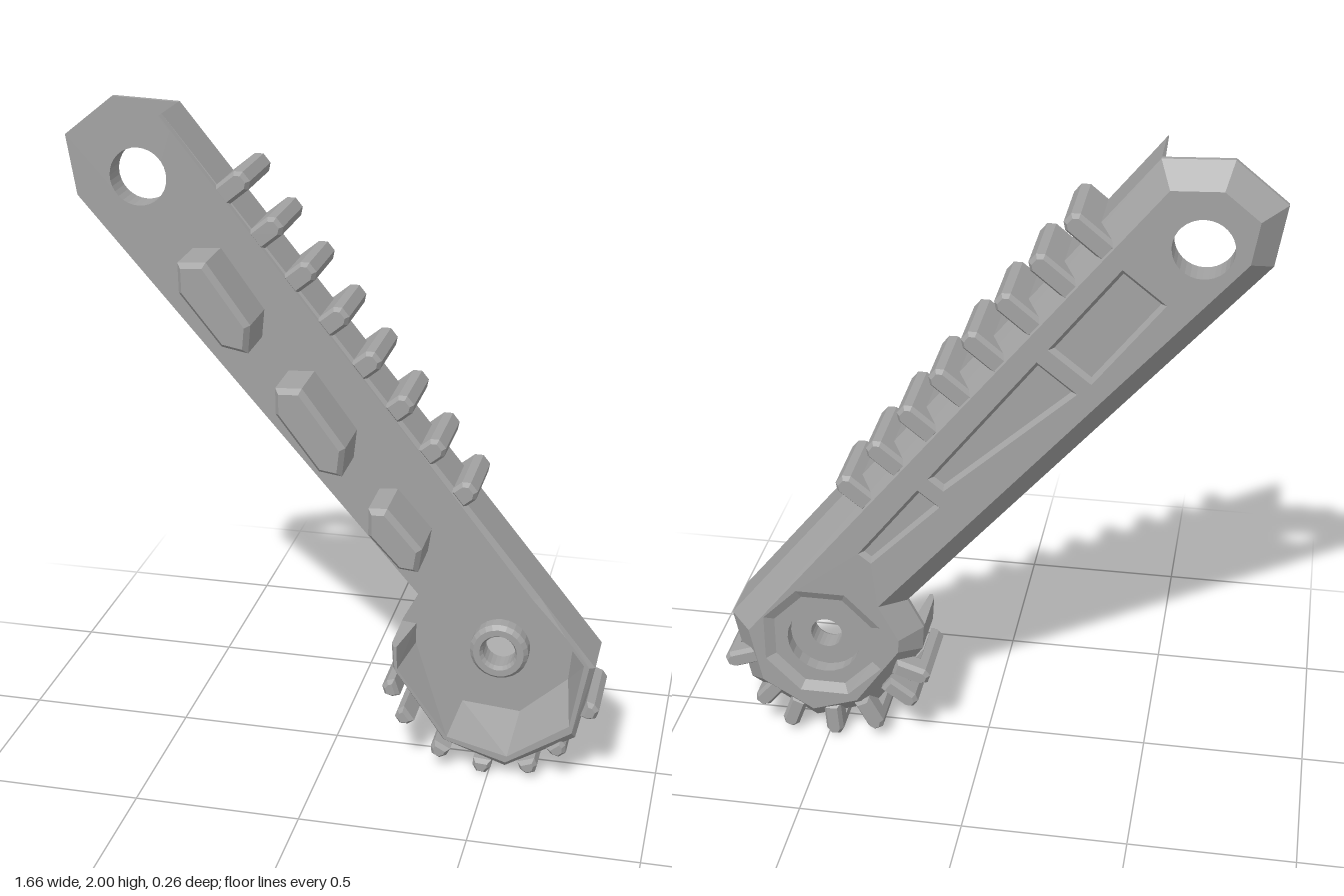
import * as THREE from 'three';

const metal = new THREE.MeshStandardMaterial({ color: 0xa2a2a2, flatShading: true, side: THREE.DoubleSide });
metal.name = 'plain grey';

const FLOOR = -0.045, BACK = -0.13, FRONT = 0.13;
const HUB = [0.505, 0.36], EYE = [-0.61, 1.765];

// ---- helpers: every outline runs clockwise as seen from the front ----
const at = (pts, z) => pts.map(([x, y]) => [x, y, z]);
const mix = (a, b, t) => [a[0] + (b[0] - a[0]) * t, a[1] + (b[1] - a[1]) * t];
const circle = ([cx, cy], r, n, turn = 0) => Array.from({ length: n }, (_, i) => {
  const a = turn - (i / n) * Math.PI * 2;
  return [cx + r * Math.cos(a), cy + r * Math.sin(a)];
});

function inset(pts, d) {
  const n = pts.length;
  const normal = (a, b) => {
    const l = Math.hypot(b[0] - a[0], b[1] - a[1]);
    return [(b[1] - a[1]) / l, -(b[0] - a[0]) / l];
  };
  return pts.map((p, i) => {
    const u = normal(pts[(i + n - 1) % n], p), v = normal(p, pts[(i + 1) % n]);
    const k = d / (1 + u[0] * v[0] + u[1] * v[1]);
    return [p[0] + (u[0] + v[0]) * k, p[1] + (u[1] + v[1]) * k];
  });
}

function add(group, name, geometry) {
  const mesh = new THREE.Mesh(geometry, metal);
  mesh.name = name;
  group.add(mesh);
}

// joins closed rings of points with quads, optionally closing both ends
function stack(rings, caps = false) {
  const pos = [], n = rings[0].length;
  for (let r = 0; r + 1 < rings.length; r++) {
    for (let i = 0; i < n; i++) {
      const j = (i + 1) % n, A = rings[r], B = rings[r + 1];
      pos.push(...A[i], ...A[j], ...B[j], ...A[i], ...B[j], ...B[i]);
    }
  }
  if (caps) {
    const A = rings[0], B = rings[rings.length - 1];
    for (let i = 1; i + 1 < n; i++) {
      pos.push(...A[0], ...A[i + 1], ...A[i], ...B[0], ...B[i], ...B[i + 1]);
    }
  }
  const g = new THREE.BufferGeometry();
  g.setAttribute('position', new THREE.Float32BufferAttribute(pos, 3));
  g.computeVertexNormals();
  return g;
}

const toVec = (pts) => pts.map(([x, y]) => new THREE.Vector2(x, y));

// flat face with holes, turned to the front or the back
function face(outline, holes, z, back = false) {
  const shape = new THREE.Shape(toVec(outline));
  holes.forEach((h) => shape.holes.push(new THREE.Path(toVec(h))));
  let g = new THREE.ShapeGeometry(shape);
  if (back) g.index.array.reverse();
  g = g.toNonIndexed();
  g.translate(0, 0, z);
  g.computeVertexNormals();
  return g;
}

// chamfered bar standing out along a direction, running front to back
function rib(group, name, base, dir, length, width, deep) {
  const side = [dir[1], -dir[0]], w = width / 2;
  const bar = (from, z0, z1) => {
    const pts = [[from, -w], [length - 0.02, -w], [length, -w * 0.5], [length, w * 0.5], [length - 0.02, w], [from, w]]
      .map(([h, s]) => [base[0] + dir[0] * h + side[0] * s, base[1] + dir[1] * h + side[1] * s]);
    const end = inset(pts, 0.01);
    add(group, name, stack([at(end, z1), at(pts, z1 - 0.015), at(pts, z0 + 0.015), at(end, z0)], true));
  };
  bar(-0.015, -0.125, 0.128);
  bar(-deep, -0.125, -0.05); // root that fills the back chamfer
}

export function createModel() {
  const model = new THREE.Group();
  model.name = 'toothedArm';

  // Arm plate with chamfered back edge
  const outline = [[-0.83, 1.88], [-0.68, 2], [-0.48, 1.992], [0.81, 0.4], [0.76, 0.16], [0.55, 0.035],
    [0.36, 0.1], [0.2, 0.33], [0.195, 0.41], [0.245, 0.505], [-0.8, 1.7]];
  const backOutline = inset(outline, 0.065);
  const eye = circle(EYE, 0.087, 32), bore = circle(HUB, 0.05, 24), socket = circle(HUB, 0.115, 24);
  const octagon = circle(HUB, 0.2, 8, Math.PI / 8), octagonFloor = inset(octagon, 0.03);

  // Three tapering sunken panels on the back: start, end, width at start, width at end
  const edge = (t, w) => [-0.4 + 0.78 * t - 0.788 * w, 1.7 - t - 0.615 * w];
  const panels = [[0.01, 0.27, 0.16, 0.16], [0.31, 0.72, 0.15, 0.06], [0.76, 1, 0.085, 0.05]]
    .map(([a, b, wa, wb]) => [edge(a, 0), edge(b, 0), edge(b, wb), edge(a, wa)]);

  add(model, 'plateFront', face(outline, [eye, bore], FLOOR));
  add(model, 'plateEdge', stack([at(outline, FLOOR), at(outline, -0.06), at(backOutline, BACK)]));
  add(model, 'plateBack', face(backOutline, [eye, octagon, ...panels], BACK, true));
  add(model, 'eyeWall', stack([at(eye, BACK), at(eye, FLOOR)]));
  panels.forEach((p) => {
    const floor = inset(p, 0.012);
    add(model, 'panelEdge', stack([at(p, BACK), at(floor, -0.113)]));
    add(model, 'panelFloor', face(floor, [], -0.113, true));
  });

  // Octagonal recess and round socket behind the hub
  add(model, 'hubRecessEdge', stack([at(octagon, BACK), at(octagonFloor, -0.113)]));
  add(model, 'hubRecessFloor', face(octagonFloor, [socket], -0.113, true));
  add(model, 'hubSocketWall', stack([at(socket, -0.113), at(socket, -0.07)]));
  add(model, 'hubSocketFloor', face(socket, [bore], -0.07, true));
  add(model, 'hubBore', stack([at(bore, -0.07), at(bore, -0.005)]));

  // Raised ring around the hub bore
  add(model, 'hubRing', stack([
    at(bore, -0.005), at(circle(HUB, 0.058, 24), 0.01), at(circle(HUB, 0.078, 24), 0.01),
    at(circle(HUB, 0.09, 24), -0.005), at(circle(HUB, 0.09, 24), FLOOR),
  ]));

  // Wall along the upper edge and round the hub, sloping inwards to the floor
  const outer = [[-0.48, 1.992], [0.64, 0.61], [0.74, 0.486], ...outline.slice(3, 9)];
  const inner = [[-0.489, 1.98], [0.54, 0.61], [0.65, 0.54], [0.73, 0.43], [0.715, 0.27],
    [0.57, 0.14], [0.39, 0.155], [0.24, 0.34], [0.24, 0.405]];
  add(model, 'rimWall', stack(outer.map((o, i) => {
    const n = inner[i];
    return [[...o, FLOOR], [...o, 0.11], [...mix(o, n, 0.2), FRONT], [...mix(o, n, 0.4), FRONT], [...n, FLOOR]];
  }), true));

  // Six-sided studs on the front of the arm
  const studs = [
    [[-0.447, 1.56], [-0.362, 1.566], [-0.232, 1.386], [-0.24, 1.3], [-0.32, 1.315], [-0.445, 1.47]],
    [[-0.16, 1.2], [-0.08, 1.205], [0.05, 1.03], [0.04, 0.94], [-0.03, 0.95], [-0.16, 1.12]],
    [[0.12, 0.845], [0.177, 0.85], [0.283, 0.73], [0.272, 0.655], [0.214, 0.66], [0.12, 0.76]],
  ];
  studs.forEach((s) => add(model, 'stud',
    stack([at(inset(s, 0.014), FRONT), at(s, 0.11), at(s, FLOOR)], true)));

  // Eight ribs along the upper edge
  const out = [0.777, 0.63];
  for (let i = 0; i < 8; i++) {
    const c = mix([-0.268, 1.8], [0.402, 0.918], i / 7);
    const rise = (c[0] + 0.48) * out[0] + (c[1] - 1.992) * out[1];
    const base = [c[0] - out[0] * rise, c[1] - out[1] * rise];
    rib(model, 'edgeRib', base, out, rise + 0.042, 0.066, 0.07);
  }

  // Teeth round the hub
  const teeth = [[0.2, 0.26], [0.24, 0.17], [0.35, 0.07], [0.48, 0.035], [0.62, 0.05], [0.705, 0.12], [0.795, 0.257]];
  teeth.forEach((t) => {
    const dx = t[0] - HUB[0], dy = t[1] - HUB[1], l = Math.hypot(dx, dy);
    rib(model, 'hubTooth', t, [dx / l, dy / l], 0.03, 0.055, 0.085);
  });

  return model;
}
